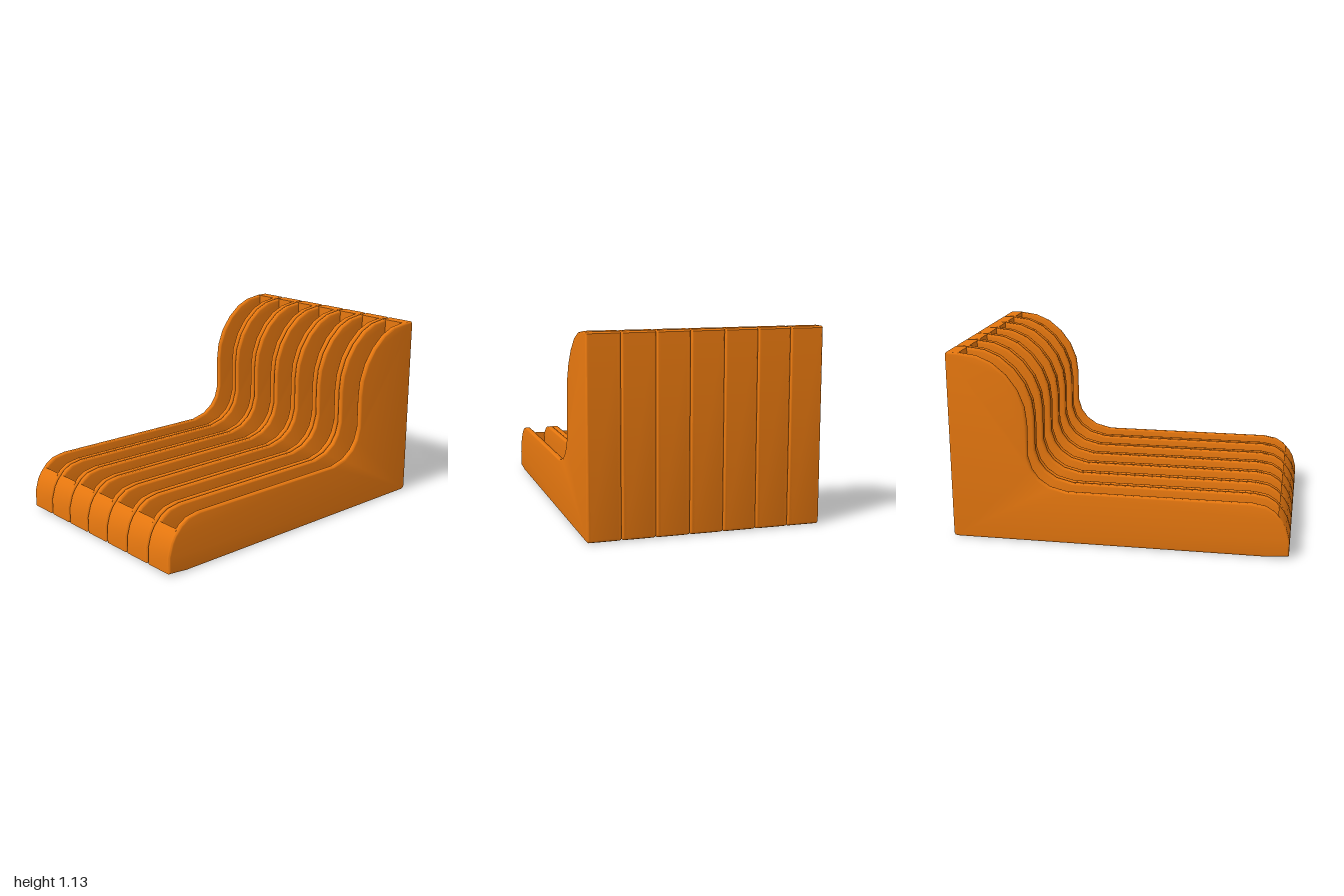
import * as THREE from 'three';
import { toCreasedNormals } from 'three/addons/utils/BufferGeometryUtils.js';

const COUNT = 7, PITCH = 0.1935, WIDTH = 0.191, WALL = 0.034, BEVEL = 0.012;

// Side profile points are [z, y]
const lipToBase = [[0.91, 0.275], [0.955, 0.225], [0.978, 0.185], [1, 0.11], [1, 0.012], [0.9, 0.003], [0.88, 0]];
const back = [[-0.98, 0], [-0.995, 0.006], [-1, 0.02], [-1, 1.12], [-0.992, 1.13], [-0.93, 1.13]];
const backrestToSeat = [
  [-0.82, 1.115], [-0.73, 1.077], [-0.645, 1.007], [-0.58, 0.92], [-0.54, 0.82], [-0.528, 0.72],
  [-0.528, 0.52], [-0.505, 0.445], [-0.465, 0.39], [-0.4, 0.345], [-0.3, 0.32],
  [0.78, 0.32], [0.86, 0.305],
];

// Extrudes a side profile across x, centred on x = 0
function slab(points, width, bevel) {
  const shape = new THREE.Shape(points.map(([z, y]) => new THREE.Vector2(z, y)));
  const depth = width - 2 * bevel;
  const geo = new THREE.ExtrudeGeometry(shape, {
    depth, bevelEnabled: bevel > 0, bevelThickness: bevel, bevelSize: bevel,
    bevelOffset: -bevel, bevelSegments: 3,
  });
  geo.translate(0, 0, -depth / 2);
  geo.rotateY(-Math.PI / 2);
  return toCreasedNormals(geo, 0.6);
}

// Trough: vertical rear wall, rounded into a flat floor, then the front lip
function troughProfile() {
  const rear = -0.92, floor = 0.065, r = 0.19;
  const inner = [];
  for (let i = 0; i <= 8; i++) {
    const a = (i / 8) * Math.PI / 2;
    inner.push([rear + r - r * Math.cos(a), floor + r - r * Math.sin(a)]);
  }
  return [[0.93, 0.255], ...lipToBase.slice(1), ...back, [rear, 1.129], ...inner, [0.93, floor]];
}

export function createModel() {
  const model = new THREE.Group();
  model.name = 'slottedRack';
  const orange = new THREE.MeshStandardMaterial({ color: 0xe6770f });
  orange.name = 'orange';

  const wallGeo = slab([...lipToBase, ...back, ...backrestToSeat], WALL, BEVEL);
  const troughGeo = slab(troughProfile(), WIDTH - WALL, 0);

  for (let i = 0; i < COUNT; i++) {
    const bay = new THREE.Group();
    bay.name = 'bay' + (i + 1);
    bay.position.x = (i - (COUNT - 1) / 2) * PITCH;

    // Floor, rear wall and front lip of the slot
    const trough = new THREE.Mesh(troughGeo, orange);
    trough.name = 'trough';
    bay.add(trough);

    // Rounded side walls
    for (const side of [-1, 1]) {
      const wall = new THREE.Mesh(wallGeo, orange);
      wall.name = side > 0 ? 'leftWall' : 'rightWall';
      wall.position.x = side * (WIDTH - WALL) / 2;
      bay.add(wall);
    }
    model.add(bay);
  }
  return model;
}
